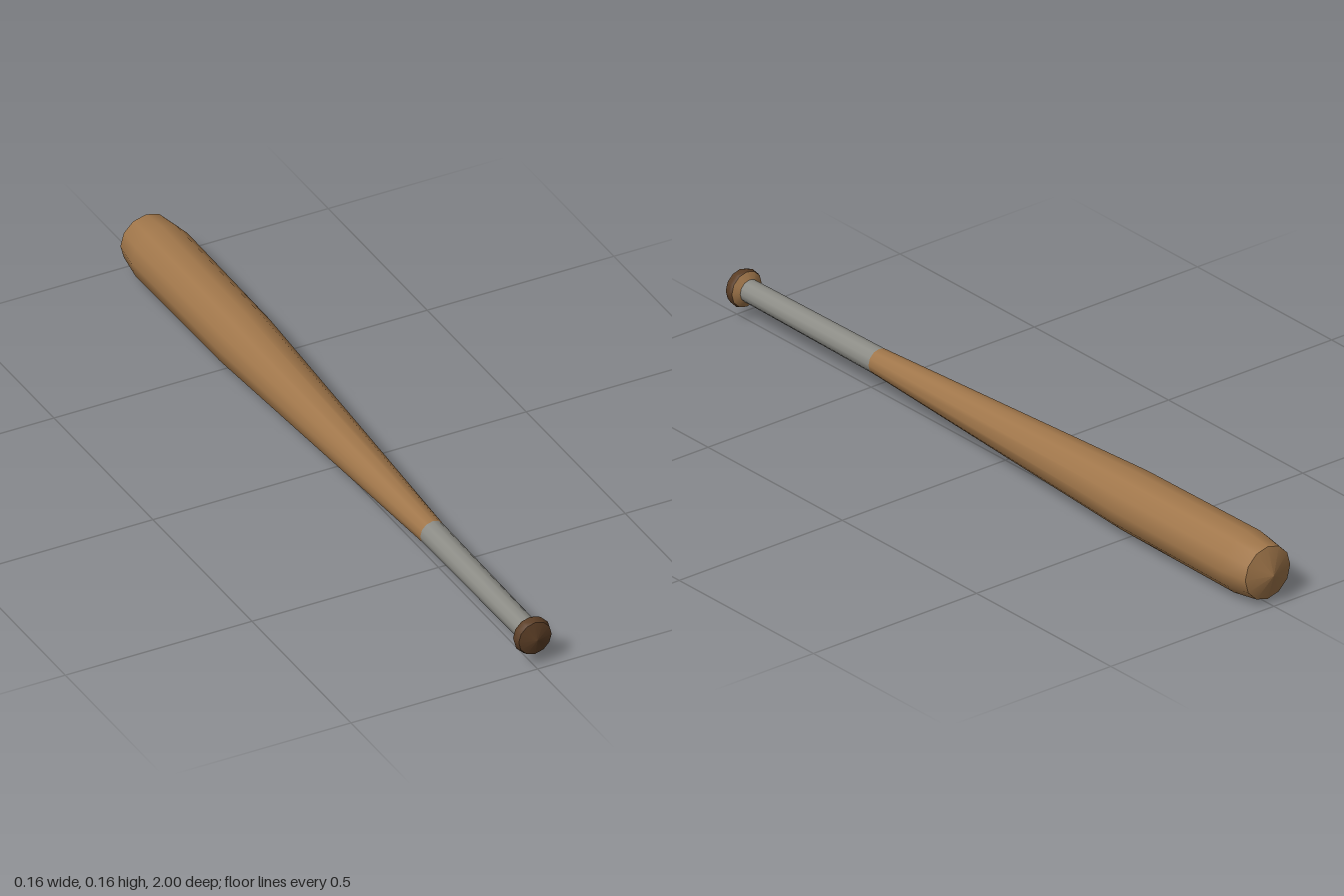
import * as THREE from 'three';

const SIDES = 12;
const AXIS_HEIGHT = 0.08;

function material(name, color) {
  const m = new THREE.MeshStandardMaterial({ color });
  m.name = name;
  return m;
}

// Turned section along z; profile points are [radius, z] with z ascending.
function turned(name, mat, profile) {
  const geometry = new THREE.LatheGeometry(
    profile.map(([r, z]) => new THREE.Vector2(r, z)), SIDES);
  geometry.rotateX(Math.PI / 2);
  const mesh = new THREE.Mesh(geometry, mat);
  mesh.name = name;
  return mesh;
}

export function createModel() {
  const wood = material('wood', 0xa0764a);
  const darkWood = material('dark wood', 0x5a3d25);
  const tape = material('grey grip tape', 0x8c8c86);

  const bat = new THREE.Group();
  bat.name = 'baseballBat';

  bat.add(
    // Barrel end, separate so its rim stays sharp
    turned('barrelEnd', wood, [[0, -1], [0.069, -0.977]]),
    // Barrel and long taper to the handle
    turned('barrel', wood, [[0.069, -0.977], [0.08, -0.9], [0.077, -0.48], [0.033, 0.47]]),
    // Taped handle
    turned('grip', tape, [[0.033, 0.47], [0.029, 0.955]]),
    // Knob: pale shoulder, dark rim and dark end
    turned('knobShoulder', wood, [[0.028, 0.952], [0.046, 0.963]]),
    turned('knobRim', darkWood, [[0.046, 0.963], [0.049, 0.972], [0.044, 0.988]]),
    turned('knobEnd', darkWood, [[0.044, 0.988], [0, 1]]),
  );

  bat.position.y = AXIS_HEIGHT;
  const model = new THREE.Group();
  model.name = 'model';
  model.add(bat);
  return model;
}
